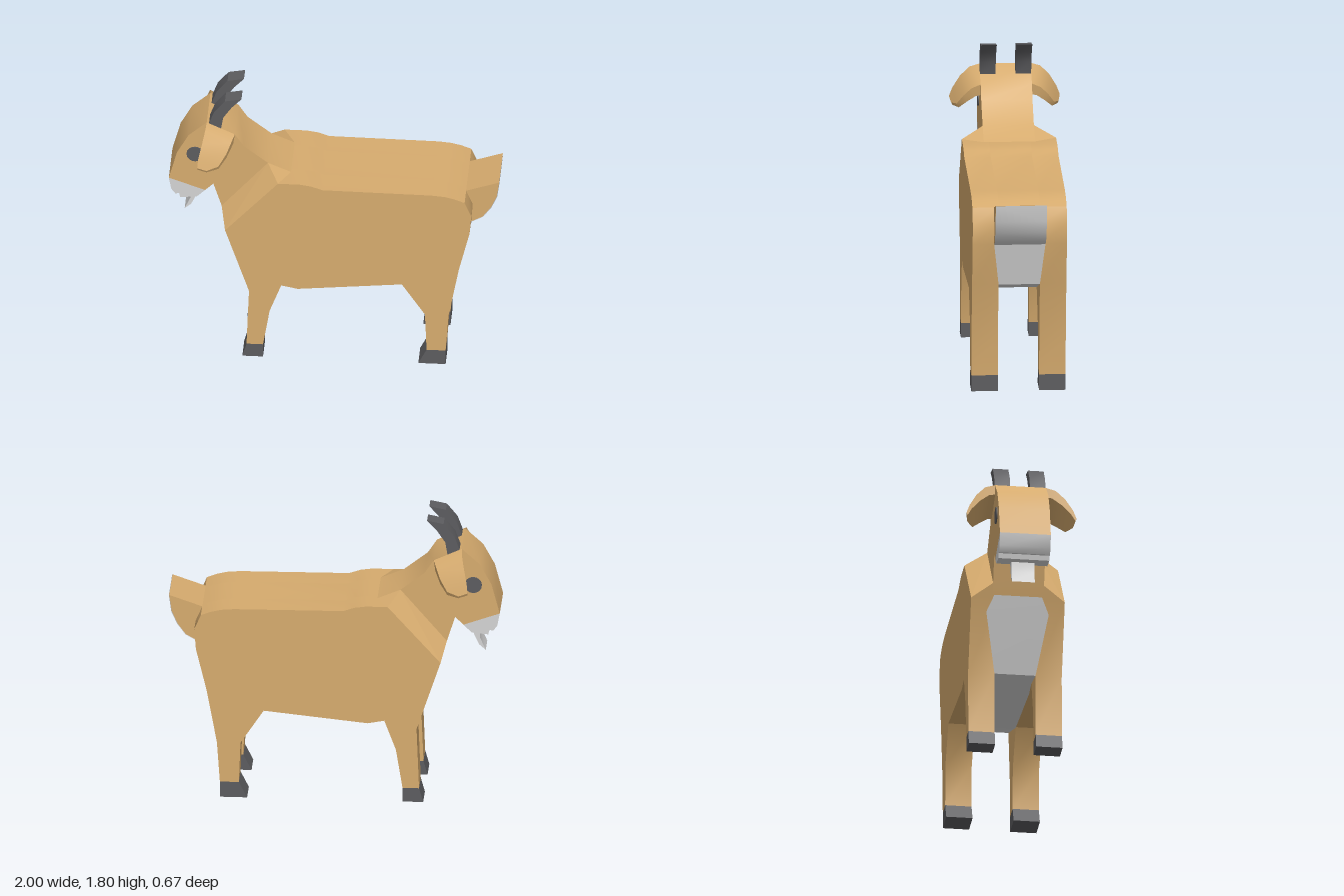
import * as THREE from 'three';
import { toCreasedNormals } from 'three/addons/utils/BufferGeometryUtils.js';

const mat = (name, color) =>
  new THREE.MeshStandardMaterial({ name, color, side: THREE.DoubleSide });

export function createModel() {
  const tan = mat('tan coat', 0xd6ab6e);
  const pale = mat('pale grey', 0xd4d4d4);
  const dark = mat('dark horn', 0x5c5c5f);
  const goat = new THREE.Group();
  goat.name = 'goat';

  const add = (name, geometry, material) => {
    const mesh = new THREE.Mesh(geometry, material);
    mesh.name = name;
    goat.add(mesh);
    return mesh;
  };

  // Side profile [x, y] extruded from z0 to z1, smooth over gentle bends
  const slab = (name, pts, z0, z1, material) => {
    const shape = new THREE.Shape(pts.map(([x, y]) => new THREE.Vector2(x, y)));
    const g = new THREE.ExtrudeGeometry(shape, { depth: z1 - z0, bevelEnabled: false });
    g.translate(0, 0, z0);
    return add(name, toCreasedNormals(g, 0.6), material);
  };
  const pair = (name, pts, z0, z1, material) => {
    slab(name + 'Left', pts, z0, z1, material);
    slab(name + 'Right', pts, -z1, -z0, material);
  };

  // Surface joining equal-length loops of points
  const loft = (rows, crease = 0.6) => {
    const n = rows[0].length, index = [];
    for (let i = 0; i < rows.length - 1; i++)
      for (let j = 0; j < n - 1; j++) {
        const a = i * n + j, b = a + n;
        index.push(a, b, a + 1, a + 1, b, b + 1);
      }
    const g = new THREE.BufferGeometry();
    g.setAttribute('position', new THREE.Float32BufferAttribute(rows.flat(2), 3));
    g.setIndex(index);
    return toCreasedNormals(g, crease);
  };
  // Ribbon across the body; each point is [x, y, half width]
  const ribbon = (name, pts) =>
    add(name, loft(pts.map(([x, y, w]) => [[x, y, -w], [x, y, w]])), pale);

  // Flanks with legs
  const back = [[0.8, 1.195], [0.74, 1.218], [0.68, 1.233], [0.6, 1.24], [-0.06, 1.246],
    [-0.13, 1.27], [-0.2, 1.28], [-0.33, 1.28]];
  pair('flankAndLegs', [
    ...back, [-0.65, 0.92], [-0.505, 0.48], [-0.52, 0.09], [-0.42, 0.09], [-0.38, 0.34],
    [-0.31, 0.53], [-0.21, 0.51], [0.42, 0.575], [0.56, 0.36], [0.57, 0.1], [0.685, 0.1],
    [0.703, 0.36], [0.765, 0.7], [0.83, 0.97], [0.84, 1.1]], 0.125, 0.285, tan);

  // Trunk between the flanks
  slab('trunk', [
    ...back, [-0.65, 0.92], [-0.505, 0.49], [-0.31, 0.53], [-0.21, 0.51], [0.42, 0.575],
    [0.765, 0.7], [0.83, 0.97], [0.84, 1.1]], -0.125, 0.125, tan);

  // Hooves
  pair('frontHoof', [[-0.545, 0], [-0.42, 0], [-0.42, 0.09], [-0.52, 0.09]], 0.125, 0.285, dark);
  pair('rearHoof', [[0.52, 0], [0.685, 0], [0.685, 0.1], [0.57, 0.1]], 0.125, 0.285, dark);

  // Pale chest, belly and rump
  ribbon('chestPatch', [[-0.661, 0.94, 0.145], [-0.629, 0.84, 0.19], [-0.509, 0.487, 0.125]]);
  ribbon('belly', [[-0.509, 0.487, 0.125], [-0.31, 0.526, 0.125], [-0.21, 0.506, 0.125],
    [0.42, 0.571, 0.125], [0.768, 0.697, 0.125]]);
  ribbon('rumpPatch', [[0.768, 0.697, 0.125], [0.834, 0.97, 0.155]]);

  // Head and neck
  slab('headAndNeck', [
    [-1, 1.2], [-0.95, 1.39], [-0.88, 1.52], [-0.77, 1.62], [-0.6, 1.54], [-0.545, 1.455],
    [-0.4, 1.34], [-0.26, 1.28], [-0.3, 1.1], [-0.65, 0.92], [-0.68, 1.01], [-0.73, 1.17],
    [-0.78, 1.12]], -0.155, 0.155, tan);
  slab('muzzle', [
    [-1, 1.2], [-0.78, 1.12], [-0.83, 1.07], [-0.93, 1.06], [-0.938, 1.09], [-0.96, 1.085],
    [-0.985, 1.12]], -0.155, 0.155, pale);
  slab('beard', [[-0.875, 1.08], [-0.82, 1.08], [-0.84, 1.02], [-0.87, 0.955], [-0.91, 0.92],
    [-0.875, 1]], -0.07, 0.07, pale);

  // Horns
  pair('horn', [
    [-0.765, 1.59], [-0.725, 1.7], [-0.66, 1.78], [-0.56, 1.8], [-0.62, 1.735], [-0.67, 1.66],
    [-0.685, 1.57]], 0.06, 0.155, dark);

  // Tail with a pale underside
  slab('tail', [[0.79, 1.192], [1, 1.265], [0.985, 1.16], [0.95, 1.08], [0.9, 1.01],
    [0.83, 0.97]], -0.155, 0.155, tan);
  ribbon('tailUnderside', [[1.002, 1.264, 0.155], [0.988, 1.159, 0.155], [0.953, 1.078, 0.155],
    [0.902, 1.007, 0.155], [0.832, 0.967, 0.155]]);

  for (const s of [1, -1]) {
    const side = s > 0 ? 'Left' : 'Right';

    // Sloping shoulder between neck and flank
    const A = [-0.4, 1.34, 0.155 * s], B = [-0.68, 1.01, 0.155 * s];
    const C = [-0.65, 0.92, 0.285 * s], D = [-0.33, 1.28, 0.285 * s];
    const E = [-0.26, 1.28, 0.155 * s], F = [-0.65, 0.92, 0.125 * s];
    const g = new THREE.BufferGeometry();
    g.setAttribute('position', new THREE.Float32BufferAttribute(
      [A, B, C, A, C, D, A, D, E, B, F, C].flat(), 3));
    g.computeVertexNormals();
    add('shoulder' + side, g, tan);

    // Eye
    const eye = new THREE.CylinderGeometry(0.052, 0.052, 0.008, 16);
    eye.rotateX(Math.PI / 2);
    add('eye' + side, eye, dark).position.set(-0.84, 1.385, 0.158 * s);

    // Drooping ear: front edge, rear edge and thickness at each section
    const sections = [
      [[-0.77, 1.62, 0.155], [-0.6, 1.54, 0.155], 0.06],
      [[-0.775, 1.6, 0.215], [-0.62, 1.51, 0.21], 0.05],
      [[-0.79, 1.54, 0.27], [-0.645, 1.46, 0.255], 0.04],
      [[-0.81, 1.46, 0.315], [-0.69, 1.395, 0.295], 0.025],
      [[-0.815, 1.405, 0.335], [-0.76, 1.38, 0.325], 0.015]];
    const rows = sections.map(([f, r, t]) => {
      const under = ([x, y, z]) => [x, y - t, z - t * 0.5];
      const loop = [f, r, under(r), under(f), f];
      return loop.map(([x, y, z]) => [x, y, z * s]);
    });
    add('ear' + side, loft(rows), tan);
    const [a, b, c, d] = rows[rows.length - 1];
    add('earTip' + side, loft([[a, b], [d, c]]), tan);
  }
  return goat;
}
